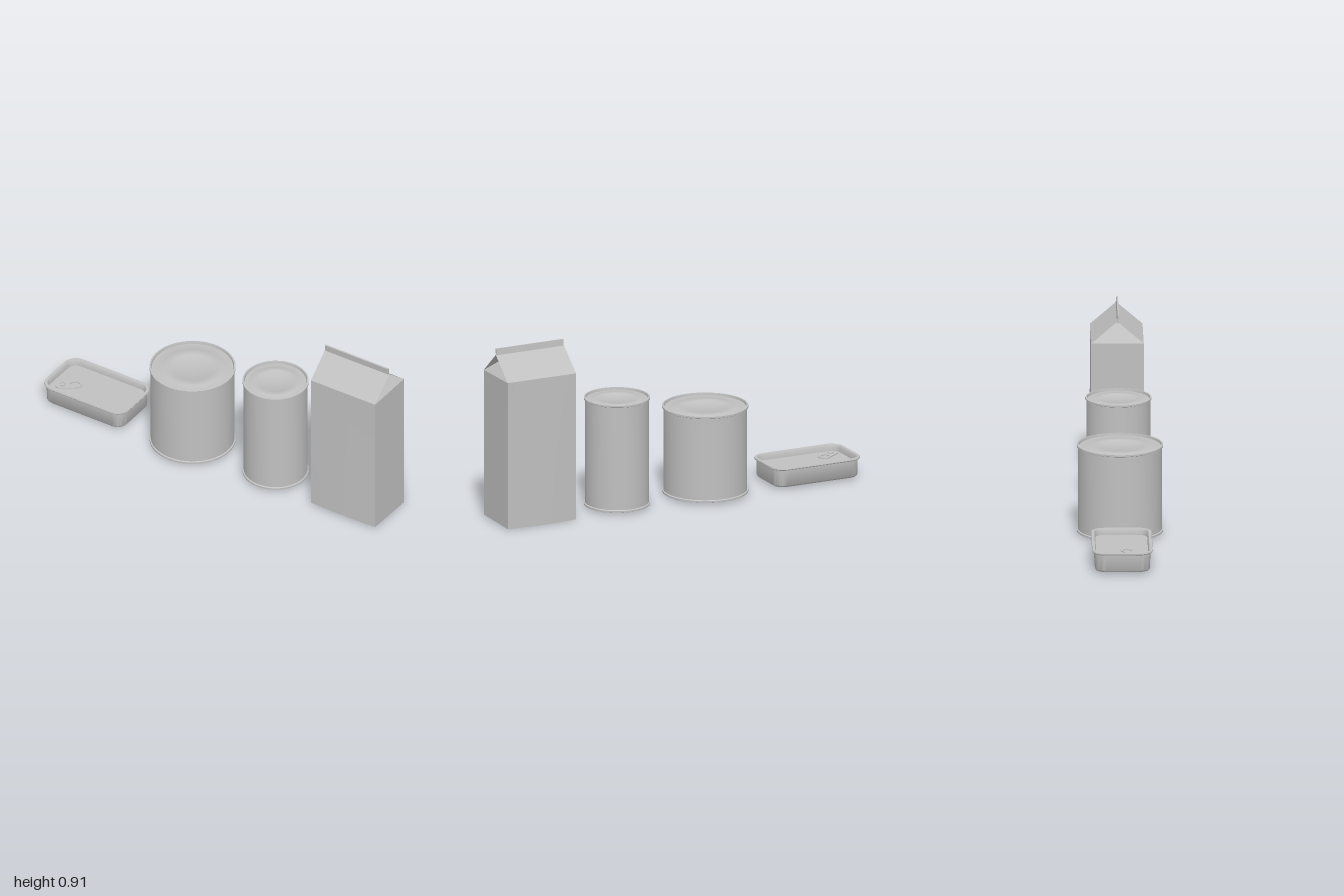
import * as THREE from 'three';
import { toCreasedNormals } from 'three/addons/utils/BufferGeometryUtils.js';

const metal = new THREE.MeshStandardMaterial({ color: 0xc0c0c0, side: THREE.DoubleSide });
metal.name = 'plain grey';

function part(name, geometry, parent) {
  const mesh = new THREE.Mesh(geometry, metal);
  mesh.name = name;
  parent.add(mesh);
  return mesh;
}

// Closed can: rolled rims and recessed, stepped lids, mirrored top and bottom
function can(name, x, radius, y0, y1, rings) {
  const mid = (y0 + y1) / 2, h = (y1 - y0) / 2;
  const lid = h - 0.012;
  const half = [[radius - 0.006, h - 0.013], [radius, h - 0.01], [radius, h - 0.001],
    [radius - 0.002, h], [radius - 0.008, h], [radius - 0.01, lid]];
  // Pressed rings in the lid
  rings.forEach((r, i) => {
    const a = lid + (i % 2 ? 0.003 : 0), b = lid + (i % 2 ? 0 : 0.003);
    half.push([r + 0.003, a], [r - 0.003, b]);
  });
  half.push([0, lid]);
  const points = [
    ...half.slice().reverse().map(([r, y]) => new THREE.Vector2(r, -y)),
    ...half.map(([r, y]) => new THREE.Vector2(r, y)),
  ];
  const geo = toCreasedNormals(new THREE.LatheGeometry(points, 48), 0.6);
  part(name, geo, group).position.set(x, mid, 0);
}

let group;

// Outline of a rounded rectangle shrunk by an inset
function outline(inset) {
  const w = 0.248 - inset, d = 0.152 - inset, r = Math.max(0.07 - inset, 0.015);
  const pts = [];
  for (let q = 0; q < 4; q++) {
    const sx = q === 0 || q === 3 ? 1 : -1, sz = q < 2 ? 1 : -1;
    for (let i = 0; i <= 6; i++) {
      const a = (q + i / 6) * Math.PI / 2;
      pts.push([sx * (w - r) + r * Math.cos(a), sz * (d - r) + r * Math.sin(a)]);
    }
  }
  return pts;
}

// Skin joining rounded rectangles given as [inset, y], closed at both ends
function loft(levels) {
  const pos = [], idx = [], n = 28;
  for (const [inset, y] of levels) for (const [x, z] of outline(inset)) pos.push(x, y, z);
  for (let k = 0; k < levels.length - 1; k++) {
    for (let i = 0; i < n; i++) {
      const a = k * n + i, b = k * n + (i + 1) % n;
      idx.push(a, a + n, b, b, a + n, b + n);
    }
  }
  const last = levels.length - 1, c = levels.length * n;
  pos.push(0, levels[0][1], 0, 0, levels[last][1], 0);
  for (let i = 0; i < n; i++) {
    const j = (i + 1) % n;
    idx.push(c, i, j, c + 1, last * n + j, last * n + i);
  }
  const geo = new THREE.BufferGeometry();
  geo.setAttribute('position', new THREE.Float32BufferAttribute(pos, 3));
  geo.setIndex(idx);
  return toCreasedNormals(geo, 0.7);
}

function flatTin() {
  const tin = new THREE.Group();
  tin.name = 'flatTin';
  tin.position.x = -0.75;
  part('tinBody', loft([[0.028, 0.01], [0.02, 0.013], [0.014, 0.02], [0.012, 0.1], [0.002, 0.104],
    [0, 0.108], [0.002, 0.114], [0.016, 0.114], [0.02, 0.108], [0.022, 0.082]]), tin);
  // Pull tab with finger hole and rivet hole
  const s = new THREE.Shape();
  s.moveTo(-0.04, -0.03);
  s.lineTo(0.04, -0.03);
  s.absarc(0.04, 0, 0.03, -Math.PI / 2, Math.PI / 2, false);
  s.lineTo(-0.04, 0.03);
  s.quadraticCurveTo(-0.065, 0.03, -0.065, 0);
  s.quadraticCurveTo(-0.065, -0.03, -0.04, -0.03);
  const finger = new THREE.Path();
  finger.absellipse(0.033, 0, 0.026, 0.02, 0, Math.PI * 2, true);
  const slot = new THREE.Path();
  slot.absellipse(-0.03, 0, 0.016, 0.018, 0, Math.PI * 2, true);
  s.holes.push(finger, slot);
  const geo = new THREE.ExtrudeGeometry(s, { depth: 0.005, bevelEnabled: false, curveSegments: 10 });
  geo.rotateX(-Math.PI / 2);
  const tab = part('pullTab', geo, tin);
  tab.position.set(-0.14, 0.088, 0.045);
  tab.rotation.y = 0.6;
  const rivet = part('tabRivet', new THREE.CylinderGeometry(0.01, 0.01, 0.012, 16), tin);
  rivet.position.set(-0.165, 0.088, 0.062);
  return tin;
}

function gableCarton() {
  const carton = new THREE.Group();
  carton.name = 'gableCarton';
  const x0 = 0.615, x1 = 0.998, top = 0.765, ridge = 0.878, d = 0.132;
  const w = x1 - x0, cx = (x0 + x1) / 2;

  // Body bulges gently at front and back, and its base dips to the rear
  const body = new THREE.BoxGeometry(w, top, 2 * d, 8, 6, 1);
  const p = body.attributes.position;
  for (let i = 0; i < p.count; i++) {
    const u = p.getX(i) / (w / 2), t = p.getY(i) / top + 0.5, z = p.getZ(i);
    p.setXYZ(i, cx + p.getX(i), t * top + (1 - t) * (z > 0 ? 0.01 : 0.003 - 0.003 * (1 - u * u)),
      z + Math.sign(z) * 0.005 * (1 - u * u) * (1 - t));
  }
  body.computeVertexNormals();
  part('cartonBody', body, carton);

  // Sloping roof panels and the side folds tucked under the ridge
  const tris = [];
  for (const s of [1, -1]) {
    const L = [-s * w / 2 + cx, top, s * d], R = [s * w / 2 + cx, top, s * d];
    const RB = [R[0], top, -s * d];
    const LR = [L[0], ridge, 0], RR = [R[0], ridge, 0];
    const tuck = [R[0] - s * 0.09, ridge - 0.006, 0];
    tris.push(L, R, RR, L, RR, LR, R, RB, tuck, R, tuck, RR, RB, RR, tuck);
  }
  const roof = new THREE.BufferGeometry();
  roof.setAttribute('position', new THREE.Float32BufferAttribute(tris.flat(), 3));
  roof.computeVertexNormals();
  part('gableRoof', roof, carton);

  // Sealed fin along the ridge, leaning slightly forward
  const fin = new THREE.BoxGeometry(w - 0.006, 0.04, 0.008);
  fin.rotateX(0.1);
  part('topFin', fin, carton).position.set(cx, 0.889, 0.003);
  return carton;
}

export function createModel() {
  group = new THREE.Group();
  group.name = 'foodContainers';
  group.add(flatTin());
  can('wideCan', -0.178, 0.216, 0.01, 0.46, [0.157, 0.109]);
  can('tallCan', 0.318, 0.166, 0.01, 0.57, [0.122, 0.09]);
  group.add(gableCarton());
  return group;
}
